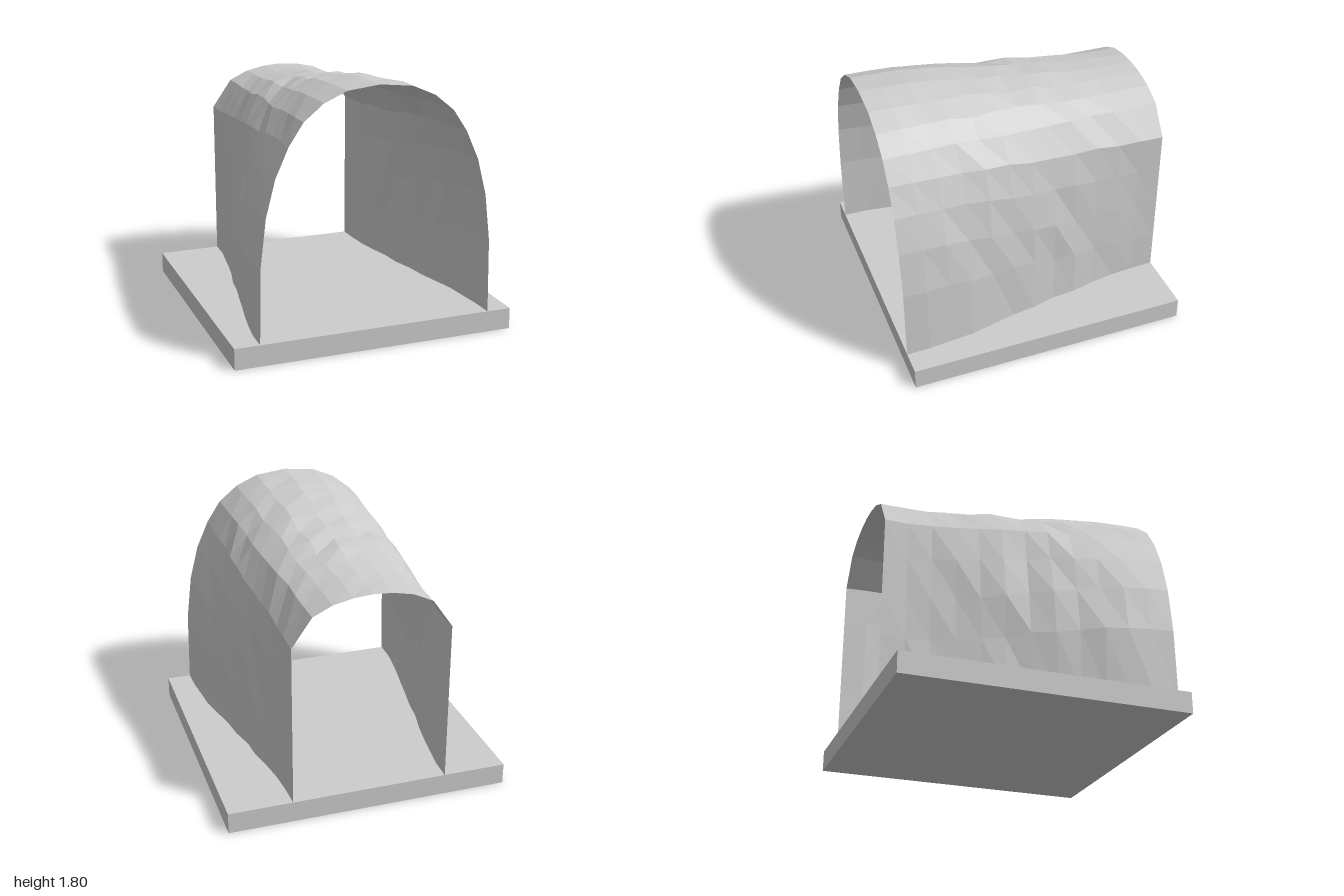
import * as THREE from 'three';

// Half cross-sections from the ground edge up to the crown
const FRONT = [[0.825, 0.15], [0.815, 0.67], [0.775, 1.0], [0.71, 1.25], [0.62, 1.45],
  [0.52, 1.6], [0.385, 1.71], [0.225, 1.78], [0, 1.805]];
const BACK = [[0.55, 0.15], [0.55, 0.43], [0.55, 0.73], [0.55, 1.03], [0.55, 1.3],
  [0.41, 1.5], [0.275, 1.565], [0.135, 1.595], [0, 1.605]];
const STEPS = 12;

// Mirror a half section into a full arch, left foot (+x) to right foot
const fullArch = half => [...half, ...half.slice(0, -1).reverse().map(([x, y]) => [-x, y])];

function seededRandom(seed) {
  return () => {
    seed = (seed * 16807) % 2147483647;
    return seed / 2147483647;
  };
}

// Arch lofted front to back, with an eased taper and a slight uneven surface
function vaultGeometry() {
  const front = fullArch(FRONT), back = fullArch(BACK);
  const n = front.length, random = seededRandom(41);
  const positions = [], index = [];
  for (let j = 0; j <= STEPS; j++) {
    const t = j / STEPS;
    const ease = t * t * (3 - 2 * t);
    const rough = 0.028 * Math.sin(Math.PI * t);
    for (let i = 0; i < n; i++) {
      const x = THREE.MathUtils.lerp(front[i][0], back[i][0], ease);
      const y = THREE.MathUtils.lerp(front[i][1], back[i][1], ease);
      const onGround = i === 0 || i === n - 1;
      const dx = (random() - 0.5) * rough;
      const dy = onGround ? 0 : (random() - 0.5) * rough;
      positions.push(x + dx, y + dy, 1 - 2 * t);
      if (j < STEPS && i < n - 1) {
        const a = j * n + i, b = a + 1, c = a + n, d = c + 1;
        index.push(a, c, b, b, c, d);
      }
    }
  }
  const geometry = new THREE.BufferGeometry();
  geometry.setAttribute('position', new THREE.Float32BufferAttribute(positions, 3));
  geometry.setIndex(index);
  const flat = geometry.toNonIndexed();
  flat.computeVertexNormals();
  return flat;
}

export function createModel() {
  const group = new THREE.Group();
  group.name = 'taperedVault';
  const stone = new THREE.MeshStandardMaterial({ color: 0xcccccc, flatShading: true, side: THREE.DoubleSide });
  stone.name = 'lightGrey';

  // Square ground slab
  const base = new THREE.Mesh(new THREE.BoxGeometry(2, 0.15, 2), stone);
  base.name = 'baseSlab';
  base.position.y = 0.075;

  // Thin open-ended vault
  const vault = new THREE.Mesh(vaultGeometry(), stone);
  vault.name = 'vaultShell';

  group.add(base, vault);
  return group;
}
